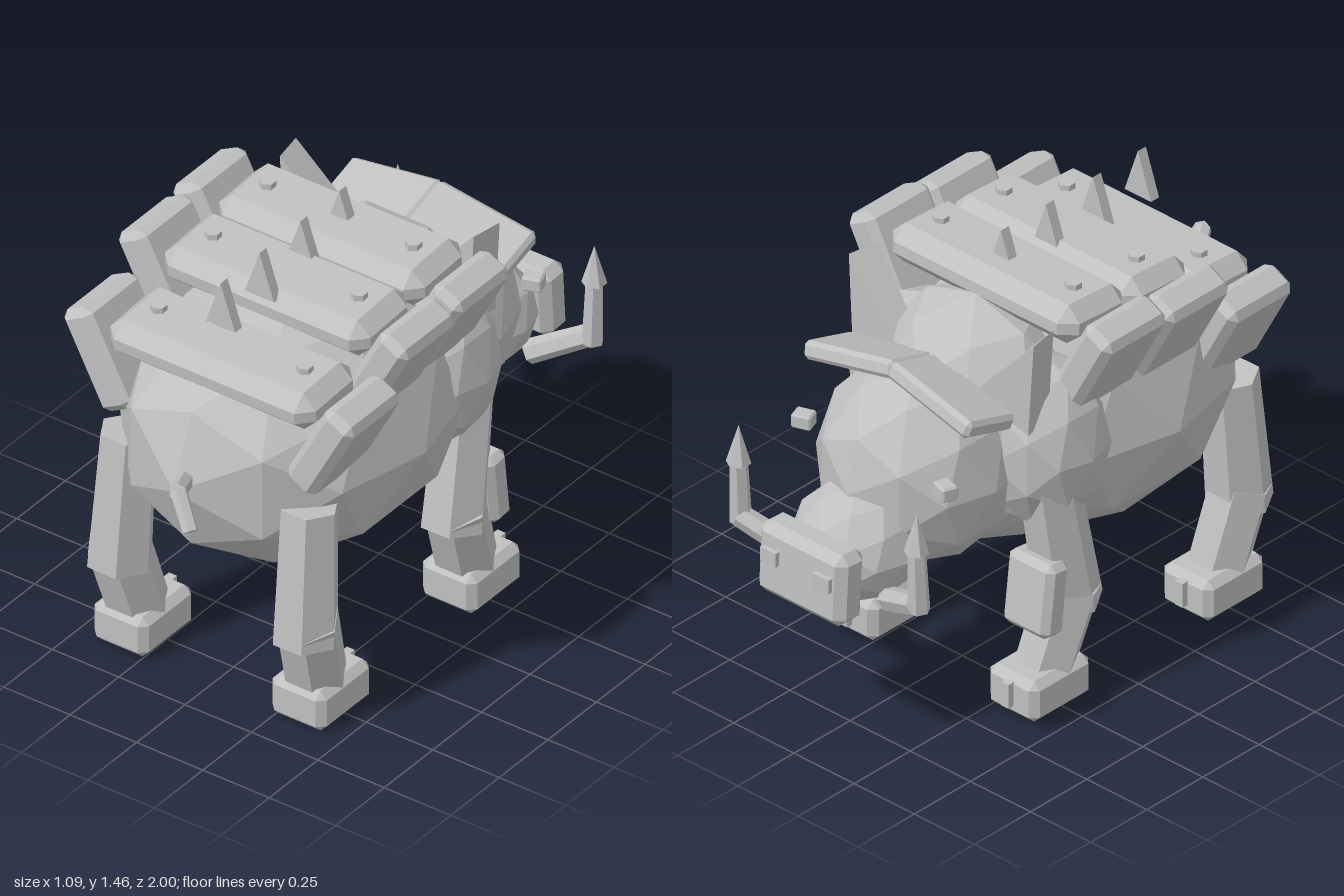
import * as THREE from 'three';
import { ConvexGeometry } from 'three/addons/geometries/ConvexGeometry.js';

const V = (x, y, z) => new THREE.Vector3(x, y, z);

// Box with chamfered edges
function chamferBox(w, h, d, b) {
  const pts = [];
  for (const i of [-1, 1]) for (const j of [-1, 1]) for (const k of [-1, 1]) {
    const x = w / 2, y = h / 2, z = d / 2;
    pts.push(V(i * x, j * (y - b), k * (z - b)), V(i * (x - b), j * y, k * (z - b)), V(i * (x - b), j * (y - b), k * z));
  }
  return new ConvexGeometry(pts);
}

// Triangular prism, centred, point up
function spikeGeometry(w, h, d) {
  const s = new THREE.Shape([new THREE.Vector2(-w / 2, -h / 2), new THREE.Vector2(w / 2, -h / 2), new THREE.Vector2(0, h / 2)]);
  return new THREE.ExtrudeGeometry(s, { depth: d, bevelEnabled: false }).translate(0, 0, -d / 2);
}

export function createModel() {
  const model = new THREE.Group();
  model.name = 'armouredBoar';
  const grey = new THREE.MeshStandardMaterial({ color: 0xc0c0c0, flatShading: true });
  grey.name = 'grey';

  const add = (name, geo, pos, rot = [0, 0, 0]) => {
    const m = new THREE.Mesh(geo, grey);
    m.name = name;
    m.position.set(...pos);
    m.rotation.set(...rot);
    model.add(m);
    return m;
  };
  // Faceted ball stretched to three radii
  const ball = (name, pos, r) => add(name, new THREE.IcosahedronGeometry(1, 1).scale(...r), pos);
  // Tapered six-sided limb between two points
  const limb = (name, a, b, ra, rb) => {
    const p = V(...a), q = V(...b), dir = q.clone().sub(p);
    const geo = new THREE.CylinderGeometry(rb, ra, dir.length(), 6).rotateY(Math.PI / 2);
    const m = add(name, geo, p.clone().add(q).multiplyScalar(0.5).toArray());
    m.quaternion.setFromUnitVectors(V(0, 1, 0), dir.normalize());
    return m;
  };

  // Torso and head; the animal looks toward -z
  ball('body', [0, 0.82, 0.19], [0.495, 0.46, 0.62]);
  ball('chest', [0, 0.86, -0.19], [0.38, 0.425, 0.31]);
  ball('head', [0, 0.82, -0.44], [0.32, 0.34, 0.325]);
  ball('muzzle', [0, 0.645, -0.72], [0.21, 0.19, 0.2]);
  add('snout', chamferBox(0.36, 0.25, 0.12, 0.03), [0, 0.63, -0.925], [0.06, 0, 0]);

  // Back plates with bolts
  [[0.51, 1.147, 1.035], [0.23, 1.262, 1.165], [-0.05, 1.292, 1.185]].forEach(([z, y, sideY]) => {
    add('backPlate', chamferBox(0.775, 0.135, 0.285, 0.048), [0, y, z], [0.06, 0, 0]);
    for (const s of [-1, 1]) {
      add('bolt', new THREE.CylinderGeometry(0.027, 0.027, 0.03, 6), [s * 0.275, y + 0.072, z]);
      add('flankPlate', chamferBox(0.12, 0.35, 0.28, 0.025), [s * 0.422, sideY, z], [0, 0, -s * 0.49]);
    }
  });

  // Row of spikes along the spine
  for (const z of [0.55, 0.35, 0.14, -0.06]) add('spineSpike', spikeGeometry(0.11, 0.16, 0.036), [0, 1.375, z]);

  // Tail
  limb('tailBase', [0.02, 0.855, 0.78], [0.11, 0.935, 0.94], 0.03, 0.028);
  limb('tailTip', [0.105, 0.94, 0.93], [0.185, 0.84, 0.975], 0.028, 0.025);

  for (const s of [-1, 1]) {
    // Face
    add('nostril', new THREE.BoxGeometry(0.065, 0.05, 0.025), [s * 0.11, 0.66, -0.987]);
    add('eye', chamferBox(0.065, 0.05, 0.055, 0.006), [s * 0.295, 0.91, -0.64], [0, s * 0.35, 0]);
    limb('tuskBase', [s * 0.18, 0.53, -0.77], [s * 0.37, 0.63, -0.85], 0.04, 0.036);
    limb('tuskShaft', [s * 0.37, 0.605, -0.84], [s * 0.37, 0.835, -0.85], 0.036, 0.029);
    add('tuskTip', new THREE.ConeGeometry(0.04, 0.135, 6), [s * 0.37, 0.887, -0.85]);

    // Brow armour, shoulders and shoulder spikes
    add('browPlate', chamferBox(0.36, 0.06, 0.22, 0.014), [s * 0.168, 1.12, -0.48], [0.3, 0, -s * 0.2]);
    ball('shoulder', [s * 0.25, 0.87, -0.17], [0.22, 0.3, 0.22]);
    add('shoulderSpike', spikeGeometry(0.22, 0.31, 0.11), [s * 0.315, 1.185, -0.3], [0, -s * 0.17, -s * 0.4]);

    // Legs: upper, lower, hoof and toe ridge
    for (const [name, topZ, kneeZ, footZ] of [['hind', 0.575, 0.61, 0.51], ['front', -0.23, -0.15, -0.265]]) {
      limb(name + 'UpperLeg', [s * 0.35, 0.31, kneeZ], [s * 0.34, 0.78, topZ], 0.108, 0.095);
      limb(name + 'LowerLeg', [s * 0.332, 0.08, footZ + 0.01], [s * 0.358, 0.385, kneeZ], 0.1, 0.102);
      add(name + 'Hoof', chamferBox(0.205, 0.145, 0.265, 0.025), [s * 0.335, 0.0725, footZ]);
      add(name + 'Toe', new THREE.BoxGeometry(0.03, 0.085, 0.05), [s * 0.335, 0.083, footZ - 0.13]);
    }
    add('kneeGuard', chamferBox(0.19, 0.255, 0.095, 0.022), [s * 0.34, 0.4, -0.287], [0.12, 0, 0]);
  }
  return model;
}
